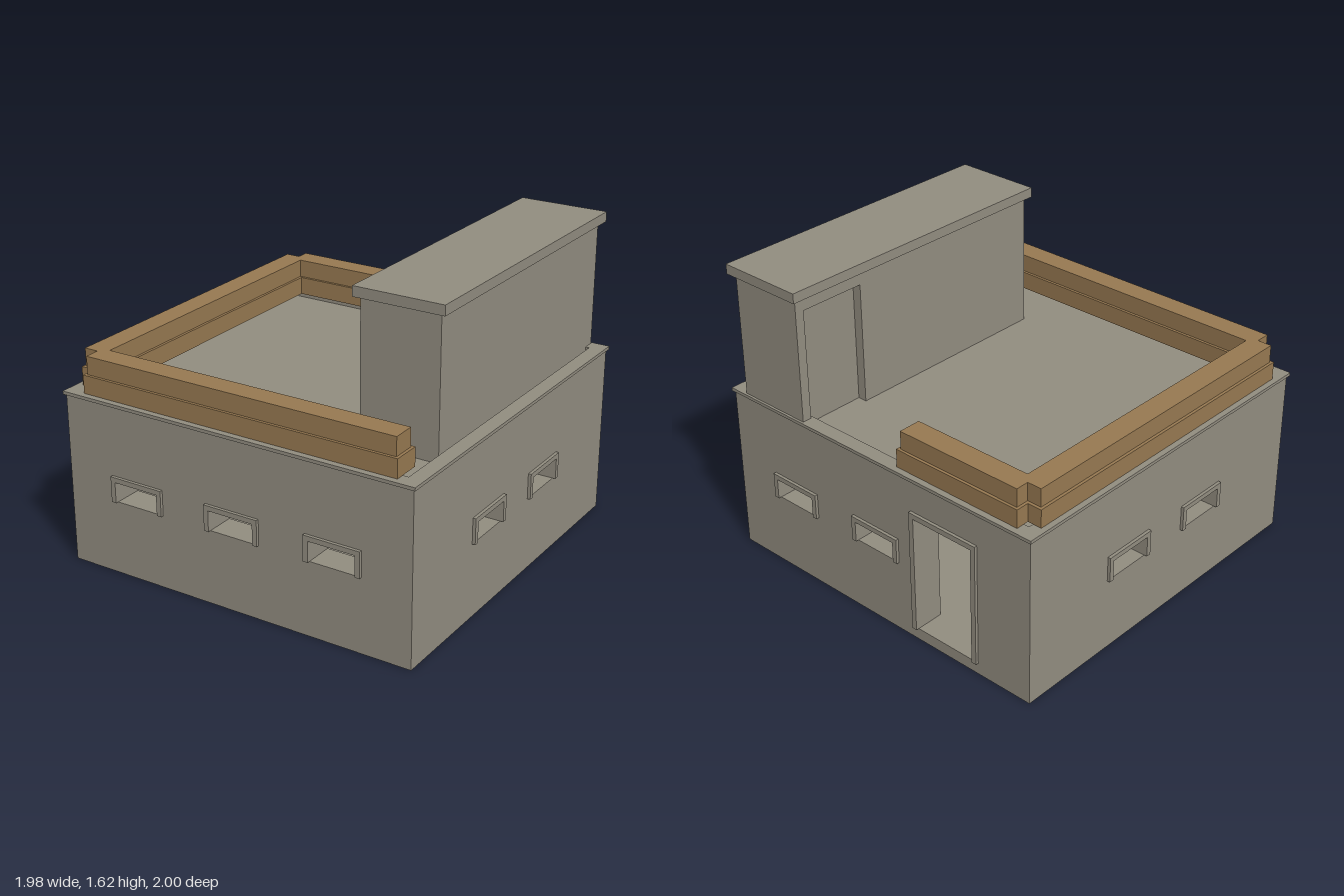
import * as THREE from 'three';

const concrete = new THREE.MeshStandardMaterial({ color: 0x928d80 });
concrete.name = 'concrete';
const sandbag = new THREE.MeshStandardMaterial({ color: 0x977951 });
sandbag.name = 'sandbagBrown';

const HALF = 0.976, WALL = 0.15, BASE = 0.004, FLOOR = 0.066, DECK = 0.857, ROOF = 0.902;

// Box given by its min and max on each axis
function box(name, [x0, x1], [y0, y1], [z0, z1]) {
  const mesh = new THREE.Mesh(new THREE.BoxGeometry(x1 - x0, y1 - y0, z1 - z0), concrete);
  mesh.position.set((x0 + x1) / 2, (y0 + y1) / 2, (z0 + z1) / 2);
  mesh.name = name;
  return mesh;
}

function rectPoints(x0, x1, y0, y1) {
  return [[x0, y0], [x1, y0], [x1, y1], [x0, y1]].map(p => new THREE.Vector2(...p));
}

// Upright panel with rectangular holes, extruded toward +z
function panel(name, rect, holes, depth) {
  const shape = new THREE.Shape(rectPoints(...rect));
  holes.forEach(h => shape.holes.push(new THREE.Path(rectPoints(...h))));
  const geometry = new THREE.ExtrudeGeometry(shape, { depth, bevelEnabled: false });
  const mesh = new THREE.Mesh(geometry, concrete);
  mesh.name = name;
  return mesh;
}

// Flat square ring around the roof edge
function ring(name, outer, inner, y0, y1) {
  const mesh = panel(name, [-outer, outer, -outer, outer], [[-inner, inner, -inner, inner]], y1 - y0);
  mesh.rotation.x = -Math.PI / 2;
  mesh.position.y = y0;
  return mesh;
}

// Trim on the sides and top of an opening
function trim(name, [x0, x1, y0, y1], w) {
  const group = new THREE.Group(), z = [HALF - 0.01, 0.992];
  group.name = name;
  group.add(
    box('trimTop', [x0 - w, x1 + w], [y1, y1 + w], z),
    box('trimSide', [x0 - w, x0], [y0, y1], z),
    box('trimSide', [x1, x1 + w], [y0, y1], z));
  return group;
}

// One outer wall with its openings, turned to face its side
function facade(name, halfWidth, windows, doors, angle) {
  const group = new THREE.Group();
  group.name = name;
  const windowHoles = windows.map(x => [x - 0.126, x + 0.126, 0.397, 0.507]);
  const doorHoles = doors.map(x => [x - 0.18, x + 0.18, FLOOR, 0.705]);
  const wall = panel('wall', [-halfWidth, halfWidth, BASE, DECK], [...windowHoles, ...doorHoles], WALL);
  wall.position.z = HALF - WALL;
  group.add(wall);
  windowHoles.forEach(h => group.add(trim('windowTrim', h, 0.026)));
  doorHoles.forEach(h => group.add(trim('doorTrim', h, 0.028)));
  group.rotation.y = angle;
  return group;
}

// One course of the U-shaped breastwork, drawn in plan
function course(i, y0, y1) {
  const front = 0.96 - i, side = -0.957 + i, rear = -0.95 + i, notch = 0.88 - i;
  const frontIn = 0.81 + i, sideIn = -0.805 - i, rearIn = -0.8 - i, end = -0.14 - i;
  const plan = [
    [notch, front], [-notch, front], [-notch, notch], [side, notch], [side, -notch], [-notch, -notch],
    [-notch, rear], [end, rear], [end, rearIn], [sideIn, rearIn], [sideIn, frontIn], [notch, frontIn],
  ];
  const shape = new THREE.Shape(plan.map(([x, z]) => new THREE.Vector2(x, -z)));
  const geometry = new THREE.ExtrudeGeometry(shape, { depth: y1 - y0, bevelEnabled: false });
  geometry.rotateX(-Math.PI / 2);
  const mesh = new THREE.Mesh(geometry, sandbag);
  mesh.position.y = y0;
  mesh.name = 'sandbagCourse';
  return mesh;
}

export function createModel() {
  const model = new THREE.Group();
  model.name = 'bunker';
  const inside = HALF - WALL;

  // Main room, set slightly forward of the stair housing's overhang
  const room = new THREE.Group();
  room.name = 'mainRoom';
  room.position.z = 0.005;
  room.add(
    facade('frontWall', HALF, [-0.56, 0, 0.56], [], 0),
    facade('backWall', HALF, [-0.56, 0], [0.45], Math.PI),
    facade('leftWall', inside, [-0.28, 0.28], [], Math.PI / 2),
    facade('rightWall', inside, [-0.28, 0.28], [], -Math.PI / 2),
    box('floor', [-inside, inside], [BASE, FLOOR], [-inside, inside]));

  // Roof deck sunk behind a low parapet with an overhanging rim
  room.add(
    box('roofDeck', [-0.91, 0.91], [0.8, DECK + 0.001], [-0.91, 0.91]),
    ring('parapet', HALF, 0.91, DECK, ROOF),
    ring('roofRim', 0.988, 0.91, ROOF, 0.919));
  model.add(room);

  // Solid rooftop stair housing with a recessed doorway toward the deck
  const housing = new THREE.Group();
  housing.name = 'stairHousing';
  const t = 0.05, x0 = 0.475, x1 = 0.89, z0 = -0.97, z1 = 0.62, y0 = 0.85, y1 = 1.573;
  const doorSide = panel('doorwayWall', [z0, z1, y0, y1], [[-0.92, -0.56, DECK, 1.5]], t);
  doorSide.rotation.y = -Math.PI / 2;
  doorSide.position.x = x0 + t;
  housing.add(
    doorSide,
    box('housingBody', [x0 + t, x1], [y0, y1], [z0, z1]),
    box('housingRoof', [0.447, 0.92], [y1, 1.625], [-1, 0.645]));
  model.add(housing);

  // Two stacked courses around the roof edge
  model.add(course(0, 0.919, 1.015), course(0.015, 1.015, 1.11));
  return model;
}
